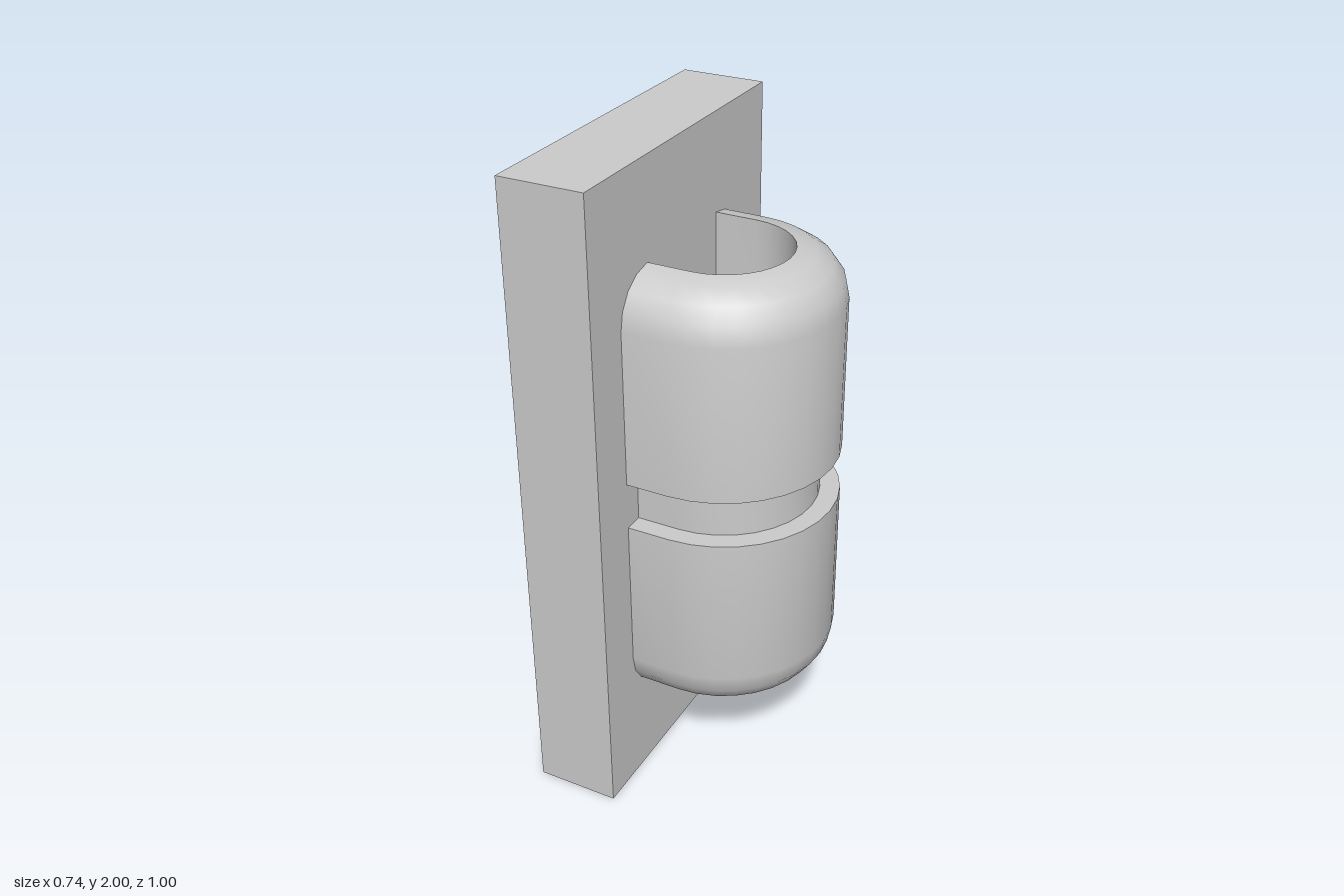
import * as THREE from 'three';
import { toCreasedNormals } from 'three/addons/utils/BufferGeometryUtils.js';

const PLATE_FACE = -0.11; // x of the plate's mounting face
const ARC_X = 0.02;       // centre of the rounded side of the U

// Sweep a (radius, height) profile round a U-shaped path that opens towards -x
function sweepU(profile, arcSegments) {
  const stations = [[PLATE_FACE, -Math.PI / 2]];
  for (let i = 0; i <= arcSegments; i++) {
    stations.push([ARC_X, -Math.PI / 2 + (Math.PI * i) / arcSegments]);
  }
  stations.push([PLATE_FACE, Math.PI / 2]);

  const positions = [];
  const indices = [];
  const n = profile.length;
  stations.forEach(([cx, angle], i) => {
    profile.forEach(([r, y], j) => {
      positions.push(cx + r * Math.cos(angle), y, r * Math.sin(angle));
      if (i < stations.length - 1 && j < n - 1) {
        const a = i * n + j;
        const b = a + n;
        indices.push(a, b, a + 1, b, b + 1, a + 1);
      }
    });
  });
  const geometry = new THREE.BufferGeometry();
  geometry.setAttribute('position', new THREE.Float32BufferAttribute(positions, 3));
  geometry.setIndex(indices);
  return toCreasedNormals(geometry, 0.6);
}

export function createModel() {
  const group = new THREE.Group();
  const material = new THREE.MeshStandardMaterial({ color: 0xcccccc });

  // Flat backing plate
  const plate = new THREE.Mesh(new THREE.BoxGeometry(0.26, 2, 1), material);
  plate.name = 'backPlate';
  plate.position.set(PLATE_FACE - 0.13, 1, 0);
  group.add(plate);

  // Upper half of the body profile: recess floor, recess wall, rounded rim, groove
  const outer = 0.35, inner = 0.2, middle = 1.003, top = 1.7, round = 0.145;
  const upper = [[0, 1.5], [inner, 1.5]];
  for (let i = 0; i <= 4; i++) {
    const t = (i / 4) * (Math.PI / 2);
    upper.push([
      inner + (outer - inner) * Math.sin(t),
      top - round + round * Math.cos(t),
    ]);
  }
  upper.push([outer, 1.076], [0.29, 1.076]);

  // Lower half mirrors the upper one
  const lower = upper.map(([r, y]) => [r, 2 * middle - y]).reverse();
  const bodyMaterial = material.clone();
  bodyMaterial.side = THREE.DoubleSide;
  const body = new THREE.Mesh(sweepU([...upper, ...lower], 16), bodyMaterial);
  body.name = 'groovedBody';
  group.add(body);

  return group;
}
